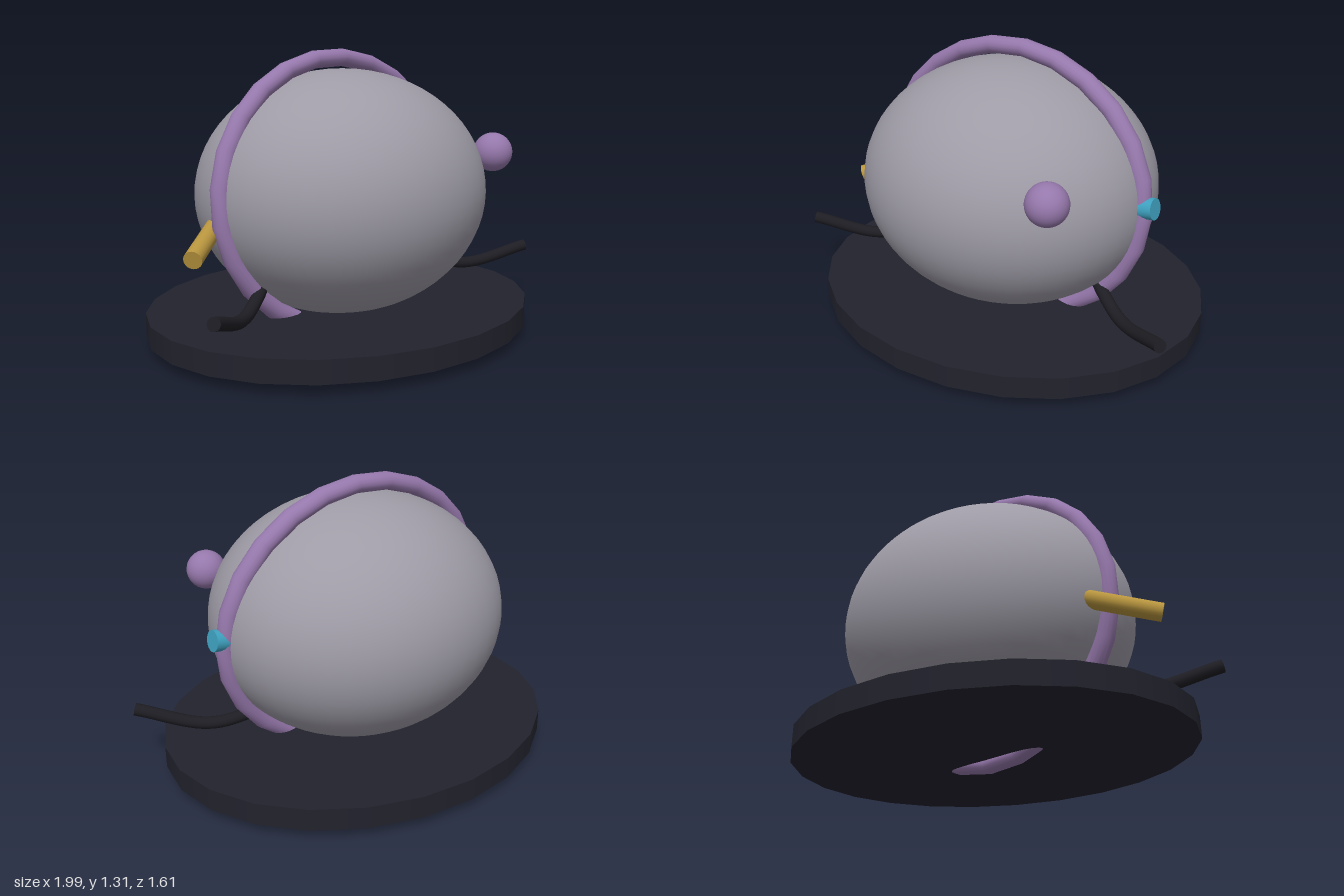
import * as THREE from 'three';

const paint = (name, color) => {
  const m = new THREE.MeshStandardMaterial({ color });
  m.name = name;
  return m;
};

export function createModel() {
  const model = new THREE.Group();
  model.name = 'eggPod';

  const grey = paint('shellGrey', 0x9e9ba6);
  const purple = paint('purple', 0x9678ac);
  const dark = paint('baseDark', 0x22222d);
  const black = paint('armBlack', 0x1d1d23);
  const gold = paint('gold', 0xb9963f);
  const cyan = paint('cyan', 0x3fa3c2);

  const add = (name, geometry, material, x = 0, y = 0, z = 0) => {
    const mesh = new THREE.Mesh(geometry, material);
    mesh.name = name;
    mesh.position.set(x, y, z);
    model.add(mesh);
    return mesh;
  };

  // Straight rod between two points
  const rod = (name, from, to, radius, material) => {
    const a = new THREE.Vector3(...from), b = new THREE.Vector3(...to);
    const dir = b.clone().sub(a);
    const mesh = add(name, new THREE.CylinderGeometry(radius, radius, dir.length(), 20), material);
    mesh.position.copy(a).lerp(b, 0.5);
    mesh.quaternion.setFromUnitVectors(new THREE.Vector3(0, 1, 0), dir.normalize());
    return mesh;
  };

  // Oval base plate
  add('basePlate', new THREE.CylinderGeometry(1, 1, 0.1, 24), dark, 0, 0.1, 0).scale.set(0.945, 1, 0.805);

  // Egg-shaped body
  add('body', new THREE.SphereGeometry(1, 48, 32), grey, 0, 0.66, 0).scale.set(0.695, 0.56, 0.64);

  // Slightly tilted oval hoop around the body
  const hoop = add('hoop', new THREE.TorusGeometry(0.69, 0.045, 16, 25), purple, 0, 0.655, 0);
  hoop.scale.set(1, 0.894, 1);
  hoop.rotation.x = -0.077;

  // Ball on the front left
  add('ball', new THREE.SphereGeometry(0.09, 32, 20), purple, 0.52, 0.835, 0.468);

  // Stud on the hoop and rod on the other side
  rod('stud', [0.65, 0.685, 0], [0.75, 0.7, 0], 0.047, cyan);
  rod('sideRod', [-0.64, 0.567, -0.106], [-0.888, 0.484, 0.082], 0.039, gold);

  // Mirrored bent arms with closed ends
  for (const s of [1, -1]) {
    const points = [[0.45, 0.32, 0], [0.7, 0.225, 0.16], [0.98, 0.305, 0.345]]
      .map(([x, y, z]) => new THREE.Vector3(s * x, y, z));
    const curve = new THREE.CatmullRomCurve3(points);
    const side = s > 0 ? 'left' : 'right';
    add(side + 'Arm', new THREE.TubeGeometry(curve, 24, 0.028, 12), black);
    const cap = add(side + 'ArmCap', new THREE.CircleGeometry(0.028, 12), black);
    cap.position.copy(points[2]);
    cap.quaternion.setFromUnitVectors(new THREE.Vector3(0, 0, 1), curve.getTangent(1));
  }

  return model;
}
